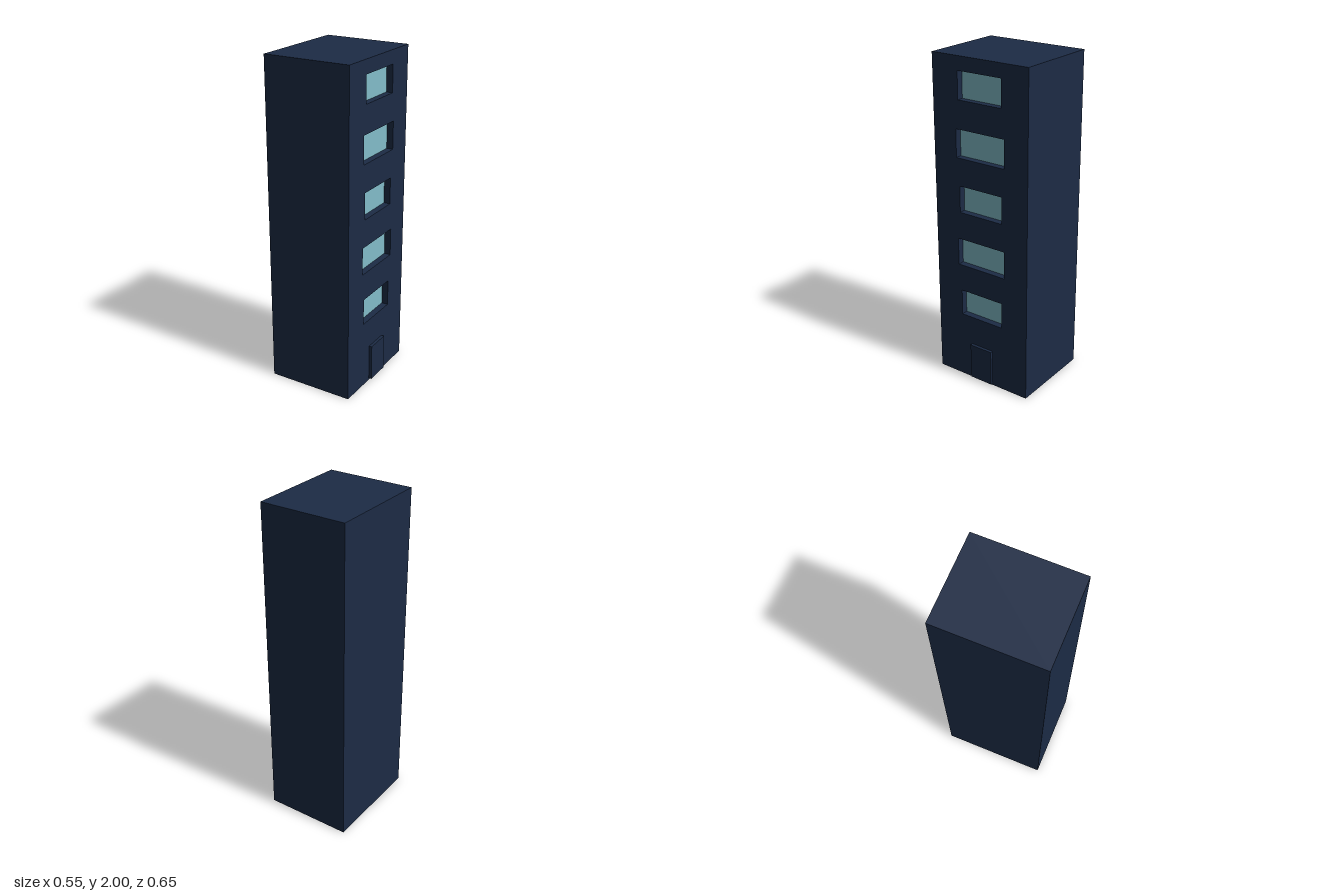
import * as THREE from 'three';

const H = 2, D = 0.646, BACK = -0.277, FRONT = 0.259, RECESS = 0.04;

export function createModel() {
  const group = new THREE.Group();
  group.name = 'towerBlock';
  const wallMat = new THREE.MeshStandardMaterial({ color: 0x1c2b45 });
  const revealMat = new THREE.MeshStandardMaterial({ color: 0x1c2b45, side: THREE.BackSide });
  const glassMat = new THREE.MeshStandardMaterial({ color: 0x82bdc9 });

  const add = (name, geometry, material, x, y, z = 0) => {
    const mesh = new THREE.Mesh(geometry, material);
    mesh.name = name;
    mesh.position.set(x, y, z);
    group.add(mesh);
    return mesh;
  };
  // box without its first faces (order +x, -x, ...)
  const openBox = (w, h, d, skip) => {
    const g = new THREE.BoxGeometry(w, h, d);
    g.setIndex(Array.from(g.index.array).slice(skip * 6));
    g.clearGroups();
    return g;
  };

  // plain walls, roof and floor, open on the window side
  add('walls', openBox(FRONT - BACK, H, D, 1), wallMat, (FRONT + BACK) / 2, H / 2);

  // window wall with one opening per storey, alternating in width
  const facade = new THREE.Shape();
  facade.moveTo(-D / 2, 0).lineTo(D / 2, 0).lineTo(D / 2, H).lineTo(-D / 2, H).closePath();

  for (let i = 0; i < 5; i++) {
    const wide = i % 2 === 1;
    const w = wide ? 0.332 : 0.294, h = wide ? 0.168 : 0.162;
    const y = 0.503 + i * 0.3335;
    const hole = new THREE.Path();
    hole.moveTo(-w / 2, y - h / 2).lineTo(-w / 2, y + h / 2)
      .lineTo(w / 2, y + h / 2).lineTo(w / 2, y - h / 2).closePath();
    facade.holes.push(hole);

    // recess sides and the pane at their inner end
    add('windowReveal', openBox(RECESS, h, w, 2), revealMat, FRONT - RECESS / 2, y);
    add('windowPane', new THREE.PlaneGeometry(w, h), glassMat, FRONT - RECESS, y).rotation.y = Math.PI / 2;
  }
  add('windowWall', new THREE.ShapeGeometry(facade), wallMat, FRONT, 0).rotation.y = Math.PI / 2;

  // door slab standing slightly proud of the wall
  add('door', new THREE.BoxGeometry(0.028, 0.226, 0.153), wallMat, 0.263, 0.125, -0.001);

  return group;
}
